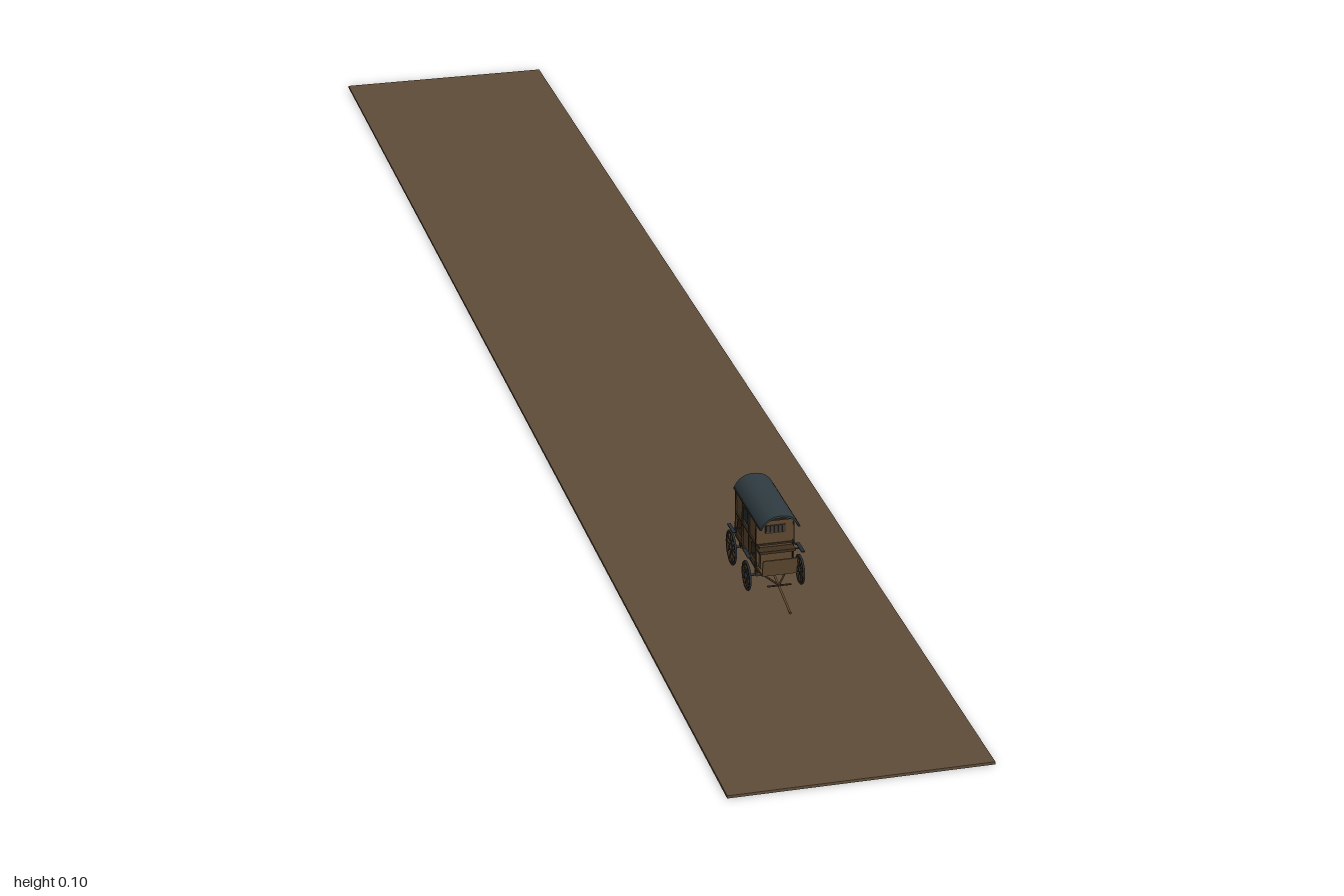
import * as THREE from 'three';

const mat = (name, color) => {
  const m = new THREE.MeshStandardMaterial({ color });
  m.name = name;
  return m;
};

export function createModel() {
  const earth = mat('packed earth', 0x604d3a);
  const wood = mat('brown wood', 0x5f4930);
  const darkWood = mat('dark wood', 0x40301f);
  const slate = mat('slate roof', 0x303c42);
  const iron = mat('dark iron', 0x262e34);
  const model = new THREE.Group();

  const add = (parent, name, geo, material, x = 0, y = 0, z = 0) => {
    const mesh = new THREE.Mesh(geo, material);
    mesh.name = name;
    mesh.position.set(x, y, z);
    parent.add(mesh);
    return mesh;
  };
  const box = (parent, name, w, h, d, material, x, y, z) =>
    add(parent, name, new THREE.BoxGeometry(w, h, d), material, x, y, z);
  const bar = (parent, name, a, b, r, material) => {
    const p = new THREE.Vector3(...a), q = new THREE.Vector3(...b);
    const mesh = add(parent, name, new THREE.CylinderGeometry(r, r, p.distanceTo(q), 8), material);
    mesh.position.copy(p).lerp(q, 0.5);
    mesh.quaternion.setFromUnitVectors(new THREE.Vector3(0, 1, 0), q.sub(p).normalize());
    return mesh;
  };
  const extrude = (shape, depth) =>
    new THREE.ExtrudeGeometry(shape, { depth, bevelEnabled: false, curveSegments: 12 });

  // Long road strip
  box(model, 'road', 0.273, 0.003, 2, earth, 0, 0.0015, 0);

  const wagon = new THREE.Group();
  wagon.name = 'wagon';
  wagon.position.x = 0.0265;
  model.add(wagon);

  // Cabin with arched ends, standing on a narrower lower box
  const cabin = new THREE.Shape();
  cabin.moveTo(-0.0195, 0.056);
  cabin.lineTo(0.0195, 0.056);
  cabin.lineTo(0.0205, 0.084);
  cabin.quadraticCurveTo(0.015, 0.096, 0, 0.096);
  cabin.quadraticCurveTo(-0.015, 0.096, -0.0205, 0.084);
  add(wagon, 'cabin', extrude(cabin, 0.082), wood, 0, 0, 0.512);
  box(wagon, 'lowerBody', 0.038, 0.029, 0.08, wood, 0, 0.0425, 0.552);
  box(wagon, 'beltRail', 0.042, 0.002, 0.084, darkWood, 0, 0.056, 0.553);
  box(wagon, 'floorFrame', 0.041, 0.003, 0.09, darkWood, 0, 0.028, 0.556);

  // Curved roof shell overhanging the driver
  const roof = new THREE.Shape();
  roof.moveTo(-0.022, 0.083);
  roof.quadraticCurveTo(-0.016, 0.098, 0, 0.098);
  roof.quadraticCurveTo(0.016, 0.098, 0.022, 0.083);
  roof.lineTo(0.0205, 0.083);
  roof.quadraticCurveTo(0.015, 0.0955, 0, 0.0955);
  roof.quadraticCurveTo(-0.015, 0.0955, -0.0205, 0.083);
  add(wagon, 'roof', extrude(roof, 0.106), slate, 0, 0, 0.508);

  // Posts, side panels and shuttered windows
  for (const s of [-1, 1]) {
    for (const z of [0.513, 0.54, 0.566, 0.593])
      box(wagon, 'sidePost', 0.0015, 0.056, 0.0025, darkWood, s * 0.0205, 0.057, z);
    for (const z of [0.5265, 0.5795])
      box(wagon, 'sidePanel', 0.001, 0.014, 0.016, darkWood, s * 0.0193, 0.043, z);
    box(wagon, 'sideWindow', 0.001, 0.014, 0.016, iron, s * 0.0205, 0.071, 0.553);
    box(wagon, 'eaveRail', 0.002, 0.002, 0.104, darkWood, s * 0.021, 0.083, 0.56);
  }

  // Slatted front vent and rear door
  box(wagon, 'frontVent', 0.022, 0.009, 0.001, iron, 0, 0.0735, 0.5945);
  for (let i = -2; i <= 2; i++)
    box(wagon, 'ventSlat', 0.0018, 0.009, 0.001, wood, i * 0.0044, 0.0735, 0.5952);
  box(wagon, 'frontRail', 0.041, 0.0015, 0.0015, darkWood, 0, 0.084, 0.5945);
  box(wagon, 'rearDoor', 0.021, 0.048, 0.001, darkWood, 0, 0.058, 0.5115);
  box(wagon, 'rearWindow', 0.012, 0.011, 0.001, iron, 0, 0.072, 0.5108);
  box(wagon, 'rearStep', 0.022, 0.0015, 0.008, darkWood, 0, 0.021, 0.508);

  // Driver's bench and footboard
  box(wagon, 'bench', 0.04, 0.003, 0.011, darkWood, 0, 0.051, 0.599);
  box(wagon, 'benchBox', 0.034, 0.02, 0.007, wood, 0, 0.04, 0.596);
  box(wagon, 'footboard', 0.038, 0.002, 0.018, wood, 0, 0.029, 0.604);
  const dash = box(wagon, 'dashboard', 0.038, 0.019, 0.0015, wood, 0, 0.038, 0.614);
  dash.rotation.x = 0.15;
  for (const s of [-1, 1])
    bar(wagon, 'benchArm', [s * 0.02, 0.057, 0.594], [s * 0.02, 0.057, 0.604], 0.0008, iron);

  // Wheels, axles and fender irons
  const wheel = (x, z, r) => {
    const g = new THREE.Group();
    g.name = 'wheel';
    g.position.set(x, 0.003 + r, z);
    g.rotation.y = Math.PI / 2;
    wagon.add(g);
    add(g, 'rim', new THREE.TorusGeometry(r - 0.0013, 0.0013, 8, 28), iron);
    add(g, 'felloe', new THREE.TorusGeometry(r - 0.003, 0.0012, 6, 28), darkWood);
    const hub = add(g, 'hub', new THREE.CylinderGeometry(0.003, 0.003, 0.005, 12), iron);
    hub.rotation.x = Math.PI / 2;
    for (let i = 0; i < 10; i++) {
      const a = i * Math.PI / 5, c = Math.cos(a), n = Math.sin(a), e = r - 0.003;
      bar(g, 'spoke', [c * 0.002, n * 0.002, 0], [c * e, n * e, 0], 0.0007, darkWood);
    }
  };
  for (const [z, r] of [[0.529, 0.0195], [0.59, 0.0165]]) {
    const y = 0.003 + r;
    bar(wagon, 'axle', [-0.031, y, z], [0.031, y, z], 0.0014, iron);
    box(wagon, 'bolster', 0.04, 0.006, 0.006, darkWood, 0, y + 0.002, z);
    for (const s of [-1, 1]) {
      wheel(s * 0.0295, z, r);
      bar(wagon, 'fenderIron', [s * 0.018, 0.045, z], [s * 0.031, 0.045, z], 0.0008, iron);
      box(wagon, 'fender', 0.004, 0.001, 0.022, iron, s * 0.0295, 0.0455, z);
    }
    // Leaf spring across the underside
    const spring = new THREE.QuadraticBezierCurve3(new THREE.Vector3(-0.019, 0.027, z),
      new THREE.Vector3(0, 0.007, z), new THREE.Vector3(0.019, 0.027, z));
    add(wagon, 'spring', new THREE.TubeGeometry(spring, 12, 0.001, 6), iron);
  }
  box(wagon, 'reach', 0.003, 0.003, 0.062, darkWood, 0, 0.021, 0.56);

  // Draw pole lowered onto the road
  bar(wagon, 'drawPole', [0, 0.019, 0.59], [0, 0.0045, 0.656], 0.0013, wood);
  for (const s of [-1, 1])
    bar(wagon, 'poleBrace', [s * 0.013, 0.02, 0.592], [0, 0.015, 0.612], 0.001, darkWood);
  bar(wagon, 'crossTree', [-0.013, 0.0155, 0.613], [0.013, 0.0155, 0.613], 0.001, darkWood);

  return model;
}
